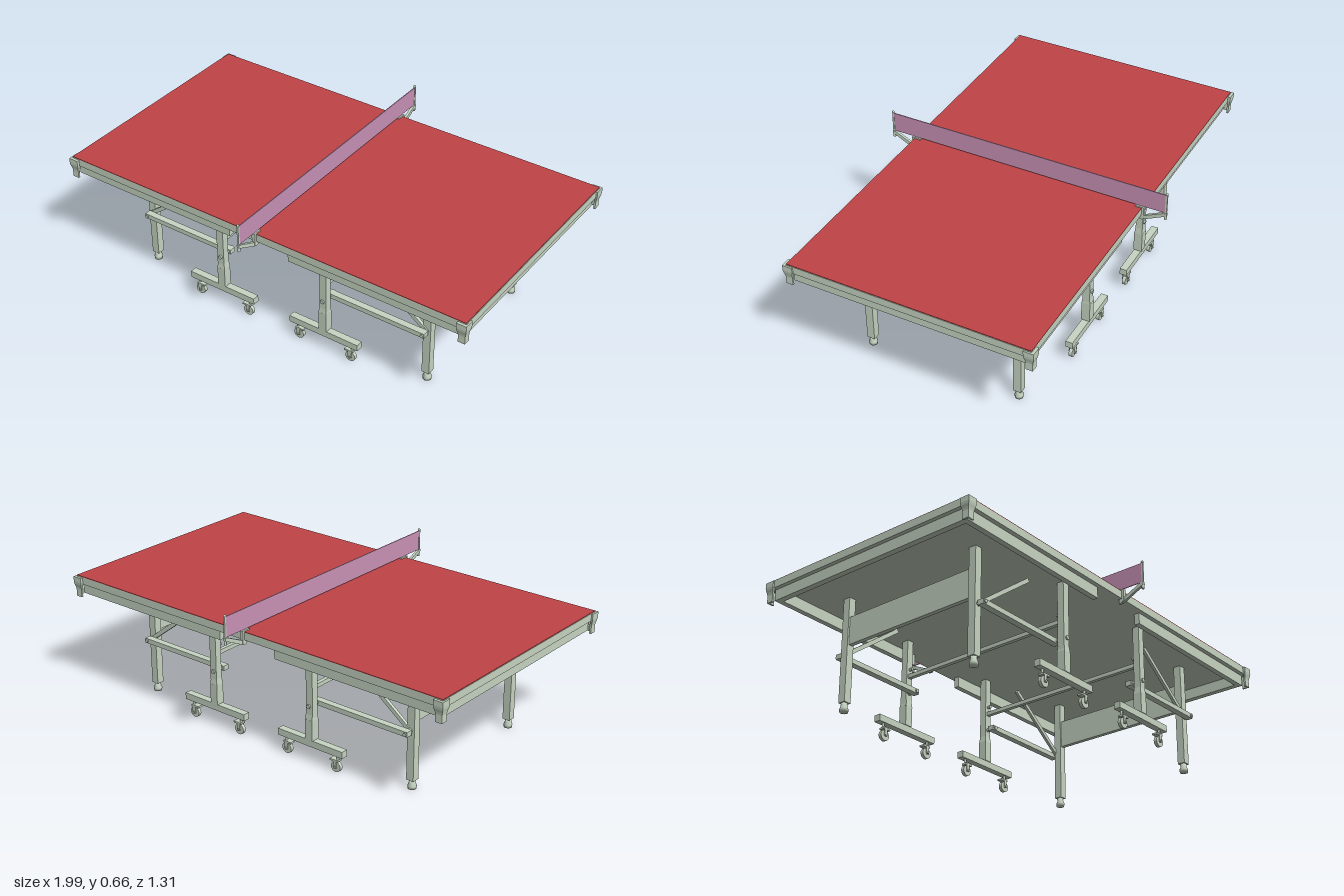
import * as THREE from 'three';

const paint = (color, opts = {}) => new THREE.MeshStandardMaterial({ color, ...opts });

export function createModel() {
  const root = new THREE.Group();
  const frame = paint(0xc8d6c4);
  const red = paint(0xc04446);
  const pink = paint(0xcb93b8, { side: THREE.DoubleSide });

  const add = (parent, name, geo, x, y, z, mat = frame) => {
    const m = new THREE.Mesh(geo, mat);
    m.name = name;
    m.position.set(x, y, z);
    parent.add(m);
    return m;
  };
  // box given by its extents
  const box = (parent, name, x0, x1, y0, y1, z0, z1, mat) =>
    add(parent, name, new THREE.BoxGeometry(Math.abs(x1 - x0), y1 - y0, Math.abs(z1 - z0)),
      (x0 + x1) / 2, (y0 + y1) / 2, (z0 + z1) / 2, mat);
  // cylinder along z
  const pin = (parent, name, r, len, x, y, z, n = 12) => {
    const m = add(parent, name, new THREE.CylinderGeometry(r, r, len, n), x, y, z);
    m.rotation.x = Math.PI / 2;
    return m;
  };

  // Table top: slab with a thin coloured playing surface
  box(root, 'topSlab', -0.99, 0.99, 0.515, 0.549, -0.545, 0.545);
  box(root, 'playingSurface', -0.988, 0.988, 0.549, 0.552, -0.545, 0.545, red);

  // Rails under the slab
  for (const s of [1, -1]) {
    box(root, 'endRail', s * 0.945, s * 0.972, 0.465, 0.515, -0.525, 0.525);
    for (const t of [1, -1])
      box(root, 'sideRail', s * 0.148, s * 0.945, 0.465, 0.515, t * 0.5, t * 0.525);
  }

  // Corner guards: L-shaped wraps, drawn in towards the bottom
  const L = new THREE.Shape([[0, 0], [-0.045, 0], [-0.045, -0.012], [-0.012, -0.012],
    [-0.012, -0.045], [0, -0.045]].map(p => new THREE.Vector2(...p)));
  const guard = new THREE.ExtrudeGeometry(L, { depth: 0.092, steps: 8, bevelEnabled: false });
  const gp = guard.attributes.position;
  for (let i = 0; i < gp.count; i++) {
    const t = 1 - gp.getZ(i) / 0.092;
    const inset = 0.007 * THREE.MathUtils.smoothstep(t, 0.25, 0.65);
    gp.setX(i, gp.getX(i) * (1 - inset / 0.0225) - inset);
    gp.setY(i, gp.getY(i) * (1 - inset / 0.0225) - inset);
  }
  guard.rotateX(-Math.PI / 2); // outline y becomes -z, depth becomes y
  guard.computeVertexNormals();
  // as built, the outer corner points to +x, -z
  [[1, -1, 0], [-1, -1, 1], [-1, 1, 2], [1, 1, 3]].forEach(([sx, sz, k]) => {
    add(root, 'cornerGuard', guard, sx * 0.997, 0.454, sz * 0.558).rotation.y = k * Math.PI / 2;
  });

  // Net with posts and clamps
  box(root, 'net', -0.002, 0.002, 0.56, 0.65, -0.648, 0.648, pink);
  const bracketShape = new THREE.Shape([[0.53, 0.495], [0.55, 0.495], [0.656, 0.547], [0.656, 0.56],
    [0.64, 0.557], [0.55, 0.514], [0.53, 0.514]].map(p => new THREE.Vector2(...p)));
  const bracketGeo = new THREE.ExtrudeGeometry(bracketShape, { depth: 0.012, bevelEnabled: false });
  bracketGeo.translate(0, 0, -0.006).rotateY(-Math.PI / 2);
  for (const s of [1, -1]) {
    const g = new THREE.Group();
    g.name = 'netPost';
    add(g, 'bracket', bracketGeo, 0, 0, 0);
    box(g, 'post', -0.004, 0.004, 0.542, 0.657, 0.647, 0.655);
    add(g, 'postCap', new THREE.SphereGeometry(0.006, 10, 8), 0, 0.655, 0.651);
    box(g, 'clampSide', -0.008, 0.008, 0.5, 0.558, 0.546, 0.556);
    box(g, 'clampTop', -0.007, 0.007, 0.552, 0.558, 0.515, 0.556);
    add(g, 'clampScrew', new THREE.CylinderGeometry(0.006, 0.006, 0.02, 10), 0, 0.538, 0.651);
    g.rotation.y = s > 0 ? 0 : Math.PI;
    root.add(g);
  }

  const footGeo = new THREE.LatheGeometry([[0, 0], [0.018, 0], [0.019, 0.014], [0.014, 0.026],
    [0.013, 0.042], [0, 0.042]].map(p => new THREE.Vector2(...p)), 14);

  // Swivel caster: stem, hood, fork plates and wheel; trail is the hood side
  const caster = (parent, x, z, trail) => {
    const g = new THREE.Group();
    g.name = 'caster';
    g.position.set(x, 0, z);
    add(g, 'stem', new THREE.CylinderGeometry(0.006, 0.006, 0.03, 10), -trail * 0.006, 0.066, 0);
    box(g, 'hood', -trail * 0.014, trail * 0.026, 0.05, 0.058, -0.013, 0.013);
    for (const s of [1, -1]) box(g, 'fork', -0.008, 0.008, 0.02, 0.052, s * 0.01, s * 0.013);
    pin(g, 'wheel', 0.024, 0.015, 0, 0.024, 0, 20);
    pin(g, 'axle', 0.005, 0.034, 0, 0.024, 0);
    parent.add(g);
  };

  // Undercarriage of each half
  for (const s of [1, -1]) {
    const half = new THREE.Group();
    half.name = 'undercarriage';
    root.add(half);
    box(half, 'crossPanel', s * 0.705, s * 0.725, 0.297, 0.425, -0.33, 0.33);
    box(half, 'crossBar', s * 0.257, s * 0.275, 0.332, 0.35, -0.42, 0.42);

    for (const t of [1, -1]) {
      // outer leg with levelling foot
      box(half, 'outerLeg', s * 0.698, s * 0.733, 0.04, 0.515, t * 0.33, t * 0.365);
      add(half, 'foot', footGeo, s * 0.716, 0, t * 0.348);

      // inner leg: post sliding into a tapered sleeve on the wheeled beam
      box(half, 'innerLeg', s * 0.249, s * 0.283, 0.2, 0.515, t * 0.418, t * 0.45);
      box(half, 'legSleeve', s * 0.246, s * 0.284, 0.108, 0.2, t * 0.414, t * 0.453);
      const collar = add(half, 'sleeveCollar',
        new THREE.CylinderGeometry(0.0225, 0.027, 0.03, 4, 1).rotateY(Math.PI / 4).toNonIndexed(),
        s * 0.265, 0.215, t * 0.4335);
      collar.geometry.computeVertexNormals();
      box(half, 'footBeam', s * 0.095, s * 0.438, 0.078, 0.108, t * 0.418, t * 0.45);
      caster(half, s * 0.134, t * 0.432, s);
      caster(half, s * 0.396, t * 0.432, -s);

      // folding linkage: horizontal side bar, diagonal stay and their pivots
      box(half, 'sideBar', s * 0.25, s * 0.725, 0.25, 0.272, t * 0.372, t * 0.402);
      const dx = 0.31, dy = 0.235;
      const stay = add(half, 'diagonalStay', new THREE.BoxGeometry(Math.hypot(dx, dy), 0.018, 0.014),
        s * (0.72 - dx / 2), 0.258 + dy / 2, t * 0.364);
      stay.rotation.z = -s * Math.atan2(dy, dx);
      pin(half, 'innerPivot', 0.009, 0.09, s * 0.265, 0.261, t * 0.412);
      pin(half, 'outerPivot', 0.008, 0.075, s * 0.715, 0.261, t * 0.37);
      pin(half, 'latchPin', 0.007, 0.02, s * 0.265, 0.375, t * 0.412);
    }
  }
  return root;
}
